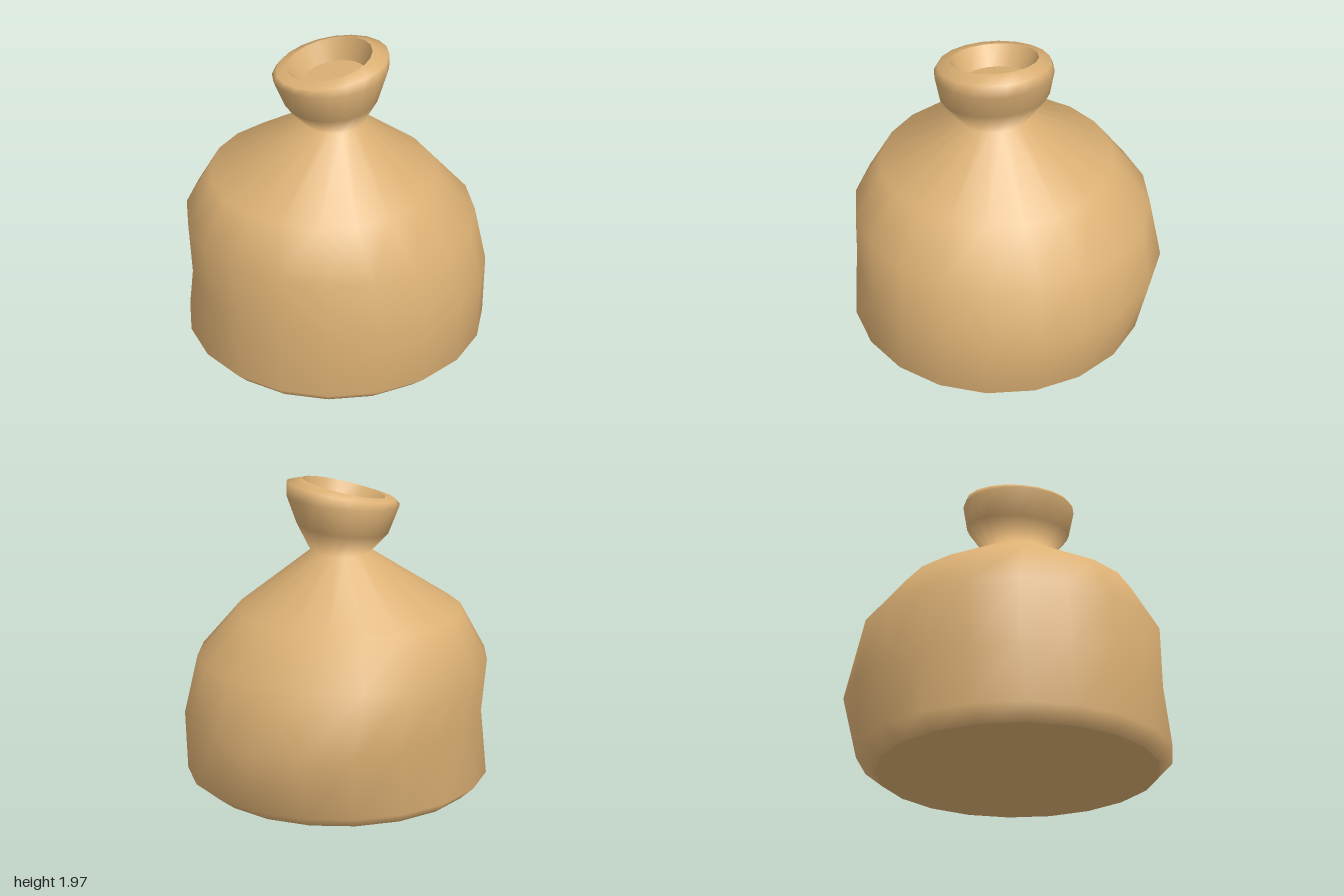
import * as THREE from 'three';

const SIDES = 20;

// One cross-section: extents in x and z, height, tilt (rise towards +x), and local bulges
const ring = (y, x0, x1, z0, z1, tilt = 0, bulges = []) => ({ y, x0, x1, z0, z1, tilt, bulges });

function ringPoint(r, j) {
  const a = (j / SIDES) * Math.PI * 2;
  let s = 1;
  for (const [degrees, amount, width] of r.bulges) {
    let d = a * 180 / Math.PI - degrees;
    d = ((d + 540) % 360) - 180;
    s += amount * Math.exp(-((d / width) ** 2));
  }
  return [
    (r.x0 + r.x1) / 2 + (r.x1 - r.x0) / 2 * Math.cos(a) * s,
    r.y + r.tilt * Math.cos(a),
    (r.z0 + r.z1) / 2 + (r.z1 - r.z0) / 2 * Math.sin(a) * s,
  ];
}

// Smooth skin over a list of cross-sections
function loft(name, rings, material) {
  const positions = [], index = [];
  rings.forEach((r) => {
    for (let j = 0; j < SIDES; j++) positions.push(...ringPoint(r, j));
  });
  for (let i = 0; i < rings.length - 1; i++) {
    for (let j = 0; j < SIDES; j++) {
      const k = (j + 1) % SIDES;
      const a = i * SIDES + j, b = i * SIDES + k, c = a + SIDES, d = b + SIDES;
      index.push(a, c, b, b, c, d);
    }
  }
  const geometry = new THREE.BufferGeometry();
  geometry.setAttribute('position', new THREE.Float32BufferAttribute(positions, 3));
  geometry.setIndex(index);
  geometry.computeVertexNormals();
  const mesh = new THREE.Mesh(geometry, material);
  mesh.name = name;
  return mesh;
}

export function createModel() {
  const group = new THREE.Group();
  group.name = 'sack';
  const burlap = new THREE.MeshStandardMaterial({ color: 0xdcb074 });
  burlap.name = 'burlap';

  const base = ring(0, -0.90, 0.86, -0.83, 0.91);
  const lip = ring(1.91, -0.31, 0.21, -0.23, 0.31, 0.06);
  const floor = ring(1.78, -0.22, 0.18, -0.18, 0.25, 0.04);

  // Bulging body, pinched neck and flared, slanted mouth
  group.add(loft('sackCloth', [
    base,
    ring(0.09, -0.985, 0.97, -0.94, 1.0),
    ring(0.48, -0.95, 0.98, -0.96, 0.97, 0, [[290, 0.075, 25], [225, -0.06, 25]]),
    ring(0.86, -0.96, 0.89, -0.96, 0.95),
    ring(1.15, -0.80, 0.63, -0.73, 0.76),
    ring(1.51, -0.22, 0.16, -0.17, 0.26),
    ring(1.66, -0.33, 0.25, -0.30, 0.38, 0.03),
    ring(1.83, -0.40, 0.31, -0.325, 0.41, 0.03),
    ring(1.89, -0.375, 0.31, -0.30, 0.39, 0.06),
    lip,
  ], burlap));

  // Inside of the mouth and the filling seen through it
  group.add(loft('mouthLining', [lip, floor], burlap));
  group.add(loft('mouthFloor', [floor, ring(1.78, -0.02, -0.02, 0.035, 0.035)], burlap));

  // Flat underside
  group.add(loft('underside', [ring(0, -0.02, -0.02, 0.04, 0.04), base], burlap));

  return group;
}
